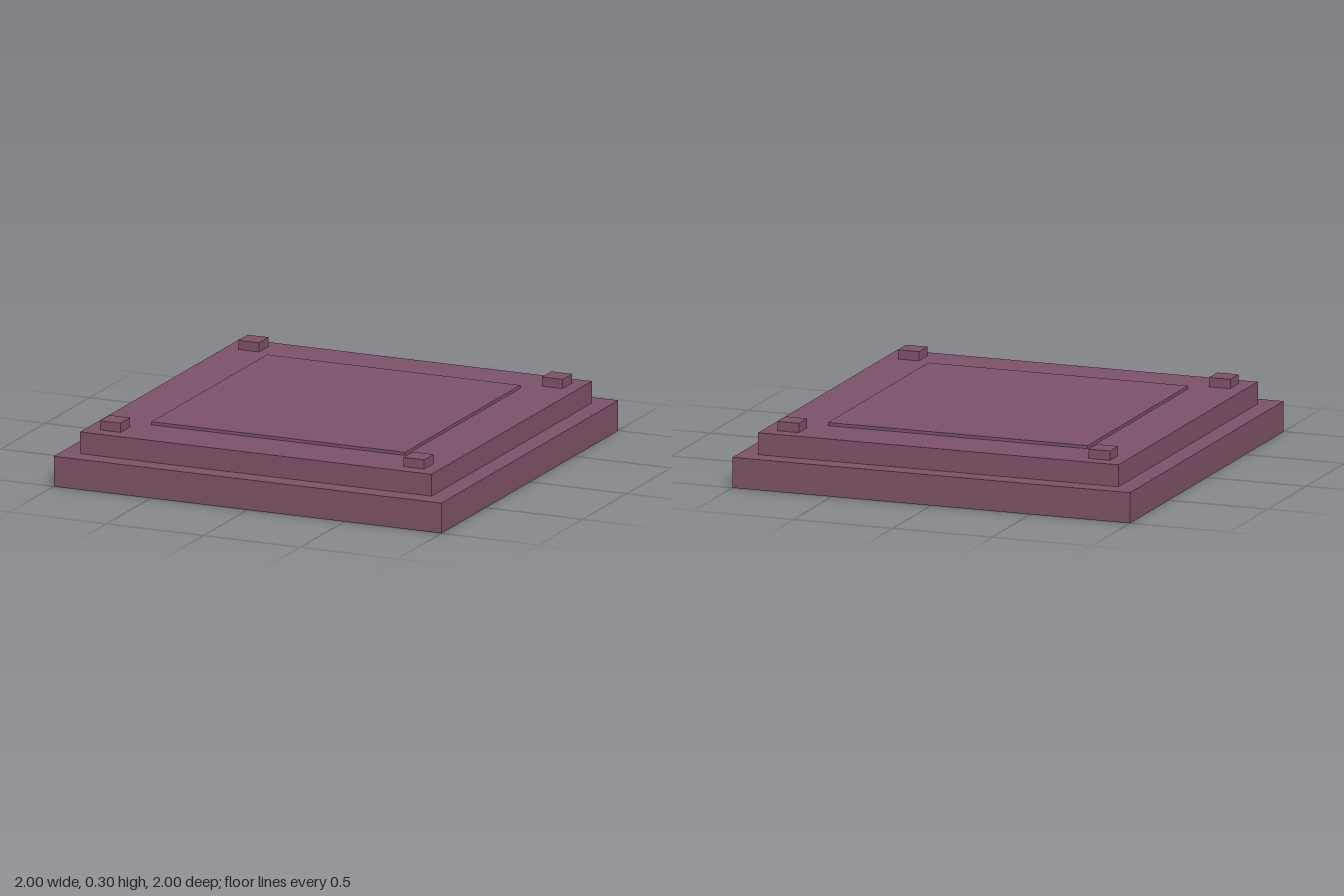
import * as THREE from 'three';

export function createModel() {
  const group = new THREE.Group();
  const plum = new THREE.MeshStandardMaterial({ color: 0x7d5269 });
  plum.name = 'plum';

  // Square slab of the given width between two heights
  const slab = (name, width, bottom, top, x = 0, z = 0) => {
    const mesh = new THREE.Mesh(new THREE.BoxGeometry(width, top - bottom, width), plum);
    mesh.name = name;
    mesh.position.set(x, (bottom + top) / 2, z);
    group.add(mesh);
  };

  // Stepped plinth with a thin raised panel
  slab('base', 2, 0, 0.147);
  slab('upperStep', 1.813, 0.147, 0.253);
  slab('topPanel', 1.307, 0.253, 0.268);

  // Corner studs
  for (const x of [-0.783, 0.783]) {
    for (const z of [-0.783, 0.783]) slab('cornerStud', 0.107, 0.253, 0.298, x, z);
  }

  return group;
}
